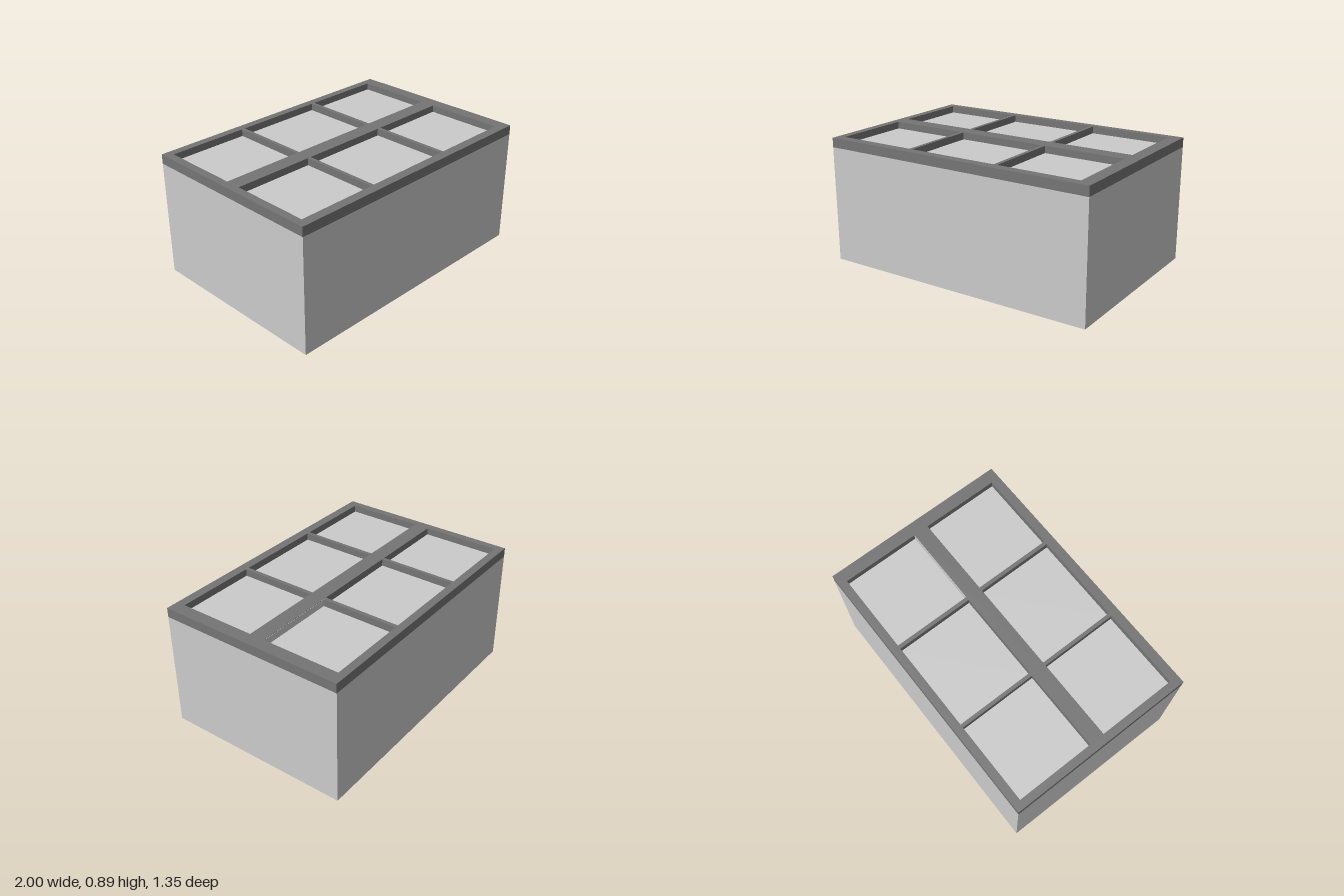
import * as THREE from 'three';

export function createModel() {
  const group = new THREE.Group();
  const light = new THREE.MeshStandardMaterial({ color: 0xcccccc, flatShading: true });
  const sheet = new THREE.MeshStandardMaterial({ color: 0xcccccc, side: THREE.DoubleSide });
  const dark = new THREE.MeshStandardMaterial({ color: 0x757575, flatShading: true });

  const X = 1, Z = 0.673, WALL = 0.828, TOP = 0.895, INSERT_TOP = 0.845;
  const columns = [[-0.945, -0.37], [-0.345, 0.3], [0.327, 0.91]];
  const rows = [[-0.617, -0.06], [0.05, 0.608]];

  const add = (name, geometry, material, x = 0, y = 0, z = 0) => {
    const mesh = new THREE.Mesh(geometry, material);
    mesh.name = name;
    mesh.position.set(x, y, z);
    group.add(mesh);
    return mesh;
  };

  // Box spanning given ranges on each axis
  const block = (name, [x0, x1], [y0, y1], [z0, z1], material) =>
    add(name, new THREE.BoxGeometry(x1 - x0, y1 - y0, z1 - z0), material,
      (x0 + x1) / 2, (y0 + y1) / 2, (z0 + z1) / 2);

  // Thin outer walls, open underneath
  const walls = [
    ['frontWall', 2 * X, 0, Z, 0], ['backWall', 2 * X, 0, -Z, Math.PI],
    ['leftWall', 2 * Z, X, 0, Math.PI / 2], ['rightWall', 2 * Z, -X, 0, -Math.PI / 2],
  ];
  for (const [name, width, x, z, turn] of walls) {
    add(name, new THREE.PlaneGeometry(width, WALL), sheet, x, WALL / 2, z).rotation.y = turn;
  }

  // Top frame with six openings (shape y becomes -z); outline and holes wind opposite ways
  const rectangle = (path, [x0, x1], [z0, z1]) => {
    path.moveTo(x0, -z0).lineTo(x1, -z0).lineTo(x1, -z1).lineTo(x0, -z1).closePath();
    return path;
  };
  const outline = rectangle(new THREE.Shape(), [-X, X], [Z, -Z]);
  for (const c of columns) {
    for (const r of rows) {
      outline.holes.push(rectangle(new THREE.Path(), c, r));
      // Block sitting recessed in each opening and hanging below the frame
      block('insertBlock', c, [0.56, INSERT_TOP], r, light);
    }
  }
  const frame = new THREE.ExtrudeGeometry(outline, { depth: TOP - WALL, bevelEnabled: false });
  frame.rotateX(-Math.PI / 2);
  add('topFrame', frame, dark, 0, WALL, 0);

  // Pale lining on one side of the back left opening
  block('openingLining', [0.328, 0.909], [INSERT_TOP, TOP - 0.002], [-0.062, -0.06], light);

  return group;
}
